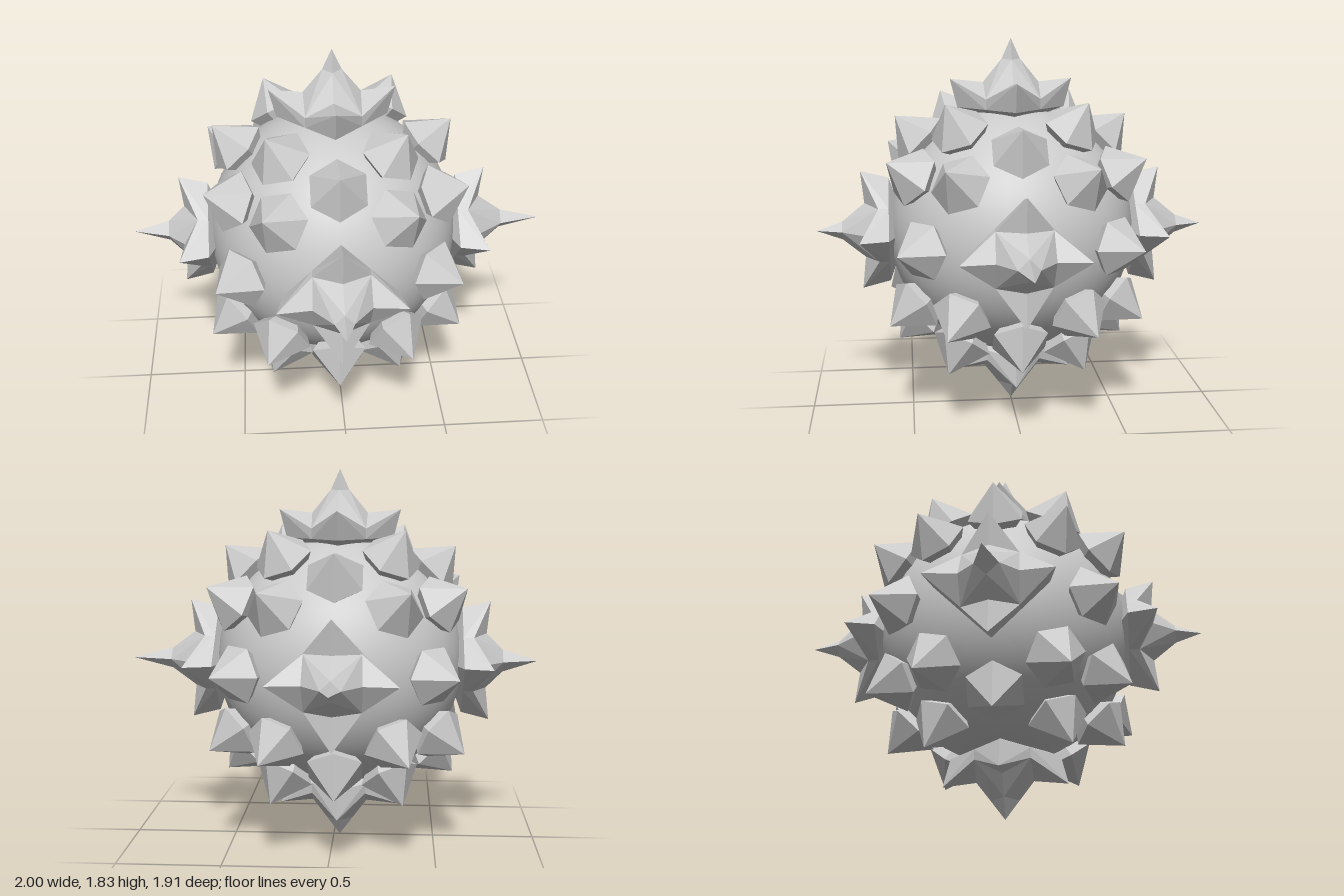
import * as THREE from 'three';

const RADIUS = 0.6;
const flat = new THREE.MeshStandardMaterial({ color: 0xcccccc, flatShading: true });
const smooth = new THREE.MeshStandardMaterial({ color: 0xcccccc });

// Four-winged crown: stacked eight-point loops, [axis radius, axis height, diagonal offset, diagonal height]
function crownGeometry(apex, neckRadius, neckHeight) {
  const loops = [
    [0.12, 0.55, 0.06, 0.55],
    [0.26, 0.6, 0.13, 0.6],
    [0.295, 0.737, 0.13, 0.65],
    [0.135, 0.72, 0.13, 0.65],
    [neckRadius, neckHeight, neckRadius / 2, neckHeight],
    [0, apex, 0, apex],
  ];
  const positions = [];
  const index = [];
  loops.forEach(([r, h, d, dh], k) => {
    for (let i = 0; i < 8; i++) {
      const a = (i * Math.PI) / 4;
      const onAxis = i % 2 === 0;
      const radius = onAxis ? r : d * Math.SQRT2;
      positions.push(radius * Math.cos(a), onAxis ? h : dh, radius * Math.sin(a));
      if (k === 0) continue;
      const j = (i + 1) % 8;
      const lo = (k - 1) * 8;
      const hi = k * 8;
      // Split each quad so its diagonal starts on a wing ridge
      if (onAxis) index.push(lo + i, hi + i, lo + j, hi + i, hi + j, lo + j);
      else index.push(lo + i, hi + i, hi + j, lo + i, hi + j, lo + j);
    }
  });
  const geometry = new THREE.BufferGeometry();
  geometry.setAttribute('position', new THREE.Float32BufferAttribute(positions, 3));
  geometry.setIndex(index);
  geometry.computeVertexNormals();
  return geometry;
}

// Six-sided spike with a tucked-in foot, pointing along +y from the ball's centre
const spikeGeometry = new THREE.LatheGeometry(
  [[0.08, 0.55], [0.145, 0.63], [0, 0.795]].map(([r, h]) => new THREE.Vector2(r, h)), 6);

// Turns +y to the given direction, with one corner towards the dominant axis
function aim(mesh, direction) {
  const y = direction.clone().normalize();
  const c = y.toArray();
  const main = c.reduce((best, v, i) => (Math.abs(v) > Math.abs(c[best]) + 1e-6 ? i : best), 0);
  const z = new THREE.Vector3().setComponent(main, Math.sign(c[main]));
  z.addScaledVector(y, -z.dot(y)).normalize();
  const x = new THREE.Vector3().crossVectors(y, z);
  mesh.quaternion.setFromRotationMatrix(new THREE.Matrix4().makeBasis(x, y, z));
}

export function createModel() {
  const model = new THREE.Group();
  model.name = 'spikedBall';
  const body = new THREE.Group();
  body.name = 'body';
  body.position.set(-0.03, 0.9, 0);
  model.add(body);

  const ball = new THREE.Mesh(new THREE.SphereGeometry(RADIUS, 48, 32), smooth);
  ball.name = 'ball';
  body.add(ball);

  // Six crowns on the main axes: direction, apex distance, neck radius, neck height
  const up = new THREE.Vector3(0, 1, 0);
  [
    [[1, 0, 0], 1.03, 0.05, 0.835],
    [[-1, 0, 0], 0.97, 0.055, 0.8],
    [[0, 1, 0], 0.93, 0.045, 0.83],
    [[0, -1, 0], 0.9, 0.067, 0.81],
    [[0, 0, 1], 0.955, 0.045, 0.83],
    [[0, 0, -1], 0.96, 0.045, 0.83],
  ].forEach(([dir, apex, r, h]) => {
    const crown = new THREE.Mesh(crownGeometry(apex, r, h), flat);
    crown.name = 'crown';
    crown.quaternion.setFromUnitVectors(up, new THREE.Vector3(...dir));
    body.add(crown);
  });

  // Small spikes: twelve between pairs of axes and a trio in each octant
  const bases = [
    [1, 1, 0], [1, 0, 1], [0, 1, 1],
    [0.604, 0.39, 0.345], [0.34, 0.39, 0.604], [0.315, 0.648, 0.33],
  ];
  for (const base of bases) {
    for (let s = 0; s < 8; s++) {
      const signs = [0, 1, 2].map((b) => (s & (1 << b) ? -1 : 1));
      // Skip repeats when a component is zero
      if (base.some((v, i) => v === 0 && signs[i] < 0)) continue;
      const spike = new THREE.Mesh(spikeGeometry, flat);
      spike.name = 'spike';
      aim(spike, new THREE.Vector3(...base.map((v, i) => v * signs[i])));
      body.add(spike);
    }
  }
  return model;
}
